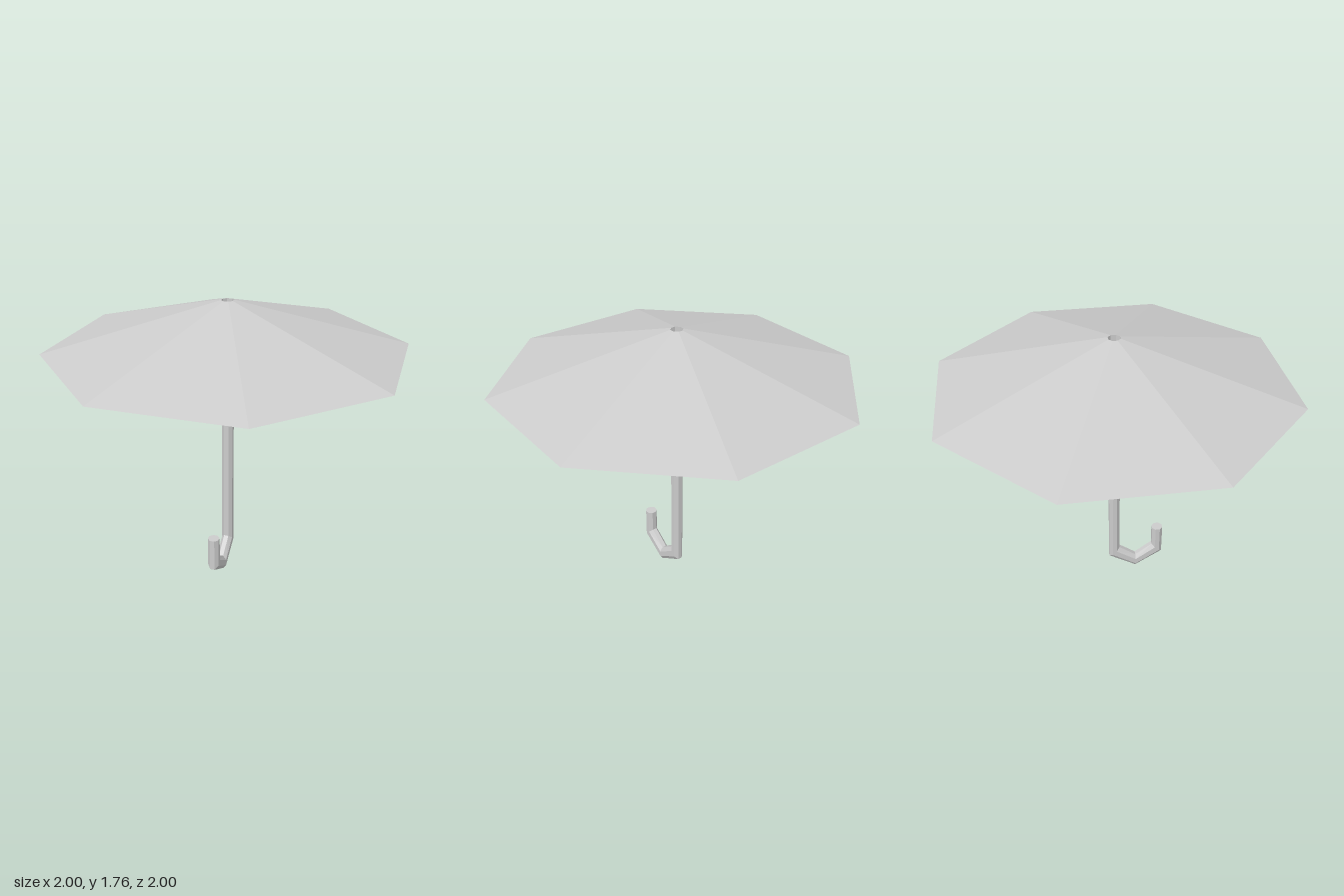
import * as THREE from 'three';

const SIDES = 8;
const SHAFT_RADIUS = 0.037;
const TOP = 1.755;
const RIM = 1.463;

// Each ring: centre (y, z) and its inner-side direction (vy, vz); the bends are sheared at 45 degrees
const RINGS = [
  { y: TOP, z: 0, vy: 0, vz: 1 },
  { y: 0.146, z: 0, vy: 1, vz: 1 },
  { y: 0.048, z: 0.145, vy: 1.414, vz: 0 },
  { y: 0.146, z: 0.29, vy: 1, vz: -1 },
  { y: 0.325, z: 0.29, vy: 0, vz: -1 },
];

function tubeFromRings(rings) {
  const positions = [];
  const index = [];
  for (const r of rings) {
    for (let i = 0; i < SIDES; i++) {
      const a = ((i + 0.5) / SIDES) * Math.PI * 2;
      const s = SHAFT_RADIUS * Math.cos(a);
      positions.push(SHAFT_RADIUS * Math.sin(a), r.y + s * r.vy, r.z + s * r.vz);
    }
  }
  for (let k = 0; k < rings.length - 1; k++) {
    for (let i = 0; i < SIDES; i++) {
      const j = (i + 1) % SIDES;
      const a = k * SIDES;
      const b = a + SIDES;
      index.push(a + i, b + i, b + j, a + i, b + j, a + j);
    }
  }
  // Cap on the hook end; the top stays open
  const last = (rings.length - 1) * SIDES;
  for (let i = 1; i < SIDES - 1; i++) index.push(last, last + i + 1, last + i);

  const indexed = new THREE.BufferGeometry();
  indexed.setAttribute('position', new THREE.Float32BufferAttribute(positions, 3));
  indexed.setIndex(index);
  const geometry = indexed.toNonIndexed();
  geometry.computeVertexNormals();
  return geometry;
}

export function createModel() {
  const group = new THREE.Group();
  group.name = 'umbrella';
  const material = new THREE.MeshStandardMaterial({
    color: 0xcccccc, flatShading: true, side: THREE.DoubleSide,
  });

  // Thin eight-panel canopy, open below and around the shaft
  const rimRadius = 1 / Math.cos(Math.PI / SIDES);
  const canopyGeometry = new THREE.CylinderGeometry(
    SHAFT_RADIUS, rimRadius, TOP - RIM, SIDES, 1, true, Math.PI / SIDES,
  ).toNonIndexed();
  canopyGeometry.computeVertexNormals();
  const canopy = new THREE.Mesh(canopyGeometry, material);
  canopy.name = 'canopy';
  canopy.position.y = (TOP + RIM) / 2;
  group.add(canopy);

  // Shaft and hooked handle in one bent tube
  const shaft = new THREE.Mesh(tubeFromRings(RINGS), material);
  shaft.name = 'shaftAndHandle';
  group.add(shaft);

  return group;
}
